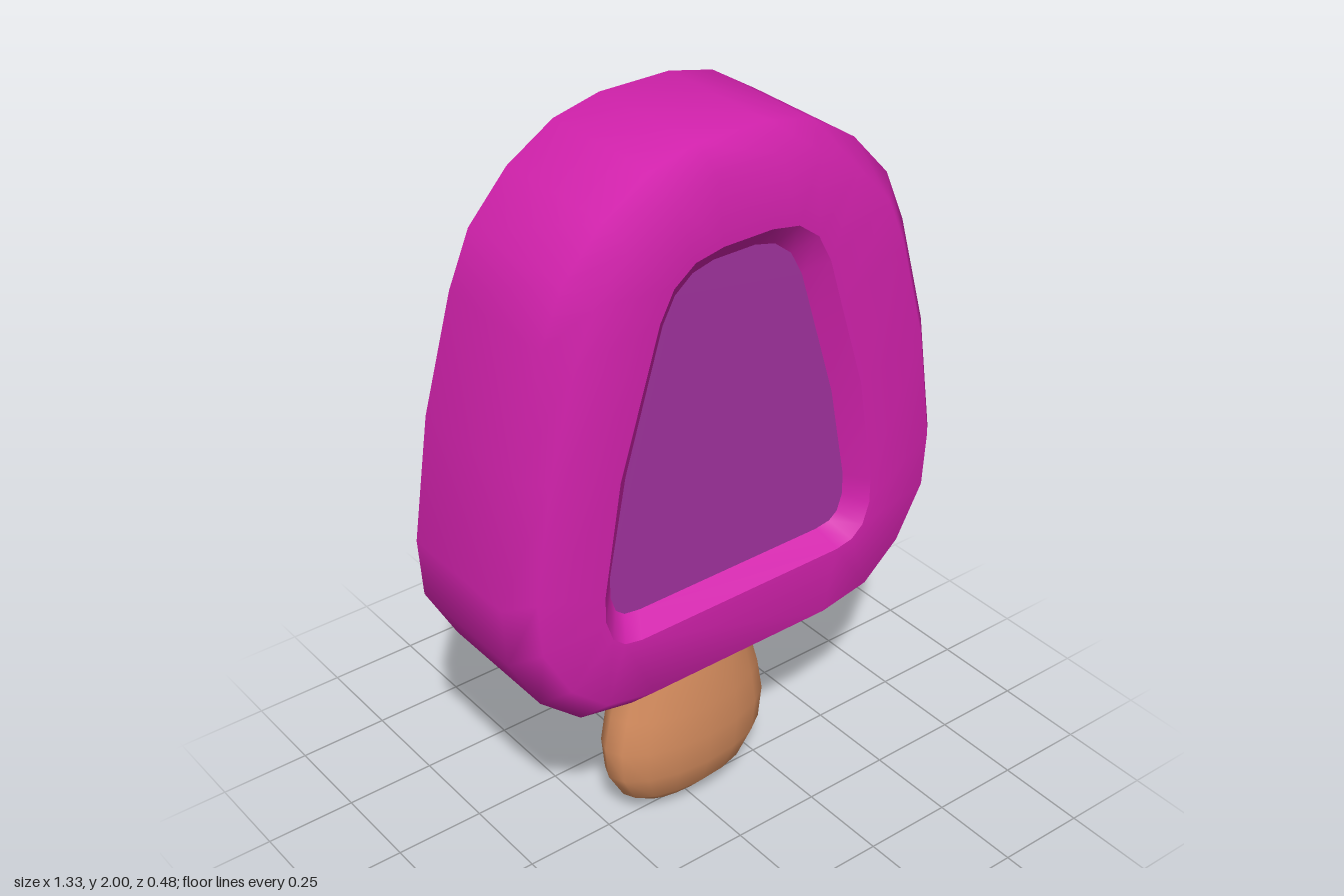
import * as THREE from 'three';

const candy = new THREE.MeshStandardMaterial({ name: 'magentaIce', color: 0xd422ae });
const filling = new THREE.MeshStandardMaterial({ name: 'purpleFilling', color: 0xa233a0 });
const wood = new THREE.MeshStandardMaterial({ name: 'wood', color: 0xd98f60 });

// Right halves of the outlines, from the top down
const OUTER = [[0.1, 2], [0.23, 1.97], [0.36, 1.89], [0.47, 1.77], [0.53, 1.63], [0.615, 1.33],
  [0.665, 1], [0.655, 0.84], [0.57, 0.685], [0.455, 0.585], [0.3, 0.555]];
const RIM = [[0.07, 1.765], [0.15, 1.75], [0.21, 1.705], [0.25, 1.63], [0.29, 1.5], [0.365, 1.26],
  [0.415, 0.96], [0.415, 0.89], [0.395, 0.83], [0.36, 0.8], [0.31, 0.79]];
const FLOOR = [[0.06, 1.71], [0.12, 1.695], [0.17, 1.655], [0.205, 1.59], [0.245, 1.46], [0.315, 1.23],
  [0.365, 0.97], [0.365, 0.91], [0.35, 0.865], [0.325, 0.845], [0.28, 0.838]];
const INSET = OUTER.map(([x, y]) => [x * 0.91, 1.277 + (y - 1.277) * 0.92]);

const FACE_Z = 0.24, SIDE_Z = 0.18, FLOOR_Z = 0.19;

// Full clockwise outline from a right half
const mirror = (half) => [...half, ...half.map(([x, y]) => [-x, y]).reverse()];
const ring = (half, z) => mirror(half).map(([x, y]) => [x, y, z]);

// Smooth skin through closed rings of equal length
function loft(rings) {
  const n = rings[0].length, index = [];
  for (let r = 0; r < rings.length - 1; r++) {
    for (let i = 0; i < n; i++) {
      const j = (i + 1) % n, a = r * n, b = a + n;
      index.push(a + i, a + j, b + i, a + j, b + j, b + i);
    }
  }
  const g = new THREE.BufferGeometry();
  g.setAttribute('position', new THREE.Float32BufferAttribute(rings.flat(2), 3));
  g.setIndex(index);
  g.computeVertexNormals();
  return g;
}

export function createModel() {
  const model = new THREE.Group();
  model.name = 'icePop';
  const add = (name, geometry, material) => {
    const mesh = new THREE.Mesh(geometry, material);
    mesh.name = name;
    model.add(mesh);
    return mesh;
  };

  // Chamfered shell, open at both recesses
  add('shell', loft([
    ring(RIM, FACE_Z), ring(INSET, FACE_Z), ring(OUTER, SIDE_Z),
    ring(OUTER, -SIDE_Z), ring(INSET, -FACE_Z), ring(RIM, -FACE_Z),
  ]), candy);

  // Sloping recess walls and flat floors, front and back
  const wall = loft([ring(FLOOR, FLOOR_Z), ring(RIM, FACE_Z)]);
  const shape = new THREE.Shape(mirror(FLOOR).map(([x, y]) => new THREE.Vector2(x, y)));
  const floor = new THREE.ShapeGeometry(shape).translate(0, 0, FLOOR_Z);
  [['front', 0], ['back', Math.PI]].forEach(([side, turn]) => {
    add(side + 'RecessWall', wall, candy).rotation.y = turn;
    add(side + 'RecessFloor', floor, filling).rotation.y = turn;
  });

  // Stick: oval sections as [y, half width, half depth], from the top down
  const sections = [[0.65, 0.195, 0.1], [0.56, 0.195, 0.102], [0.47, 0.205, 0.112], [0.36, 0.237, 0.12],
    [0.26, 0.256, 0.12], [0.165, 0.247, 0.112], [0.08, 0.2, 0.083], [0.025, 0.12, 0.035], [0, 0.01, 0.004]];
  const SIDES = 16;
  add('stick', loft(sections.map(([y, w, d]) => Array.from({ length: SIDES }, (_, i) => {
    const a = (i / SIDES) * Math.PI * 2;
    return [w * Math.cos(a), y, d * Math.sin(a)];
  }))), wood);

  return model;
}
